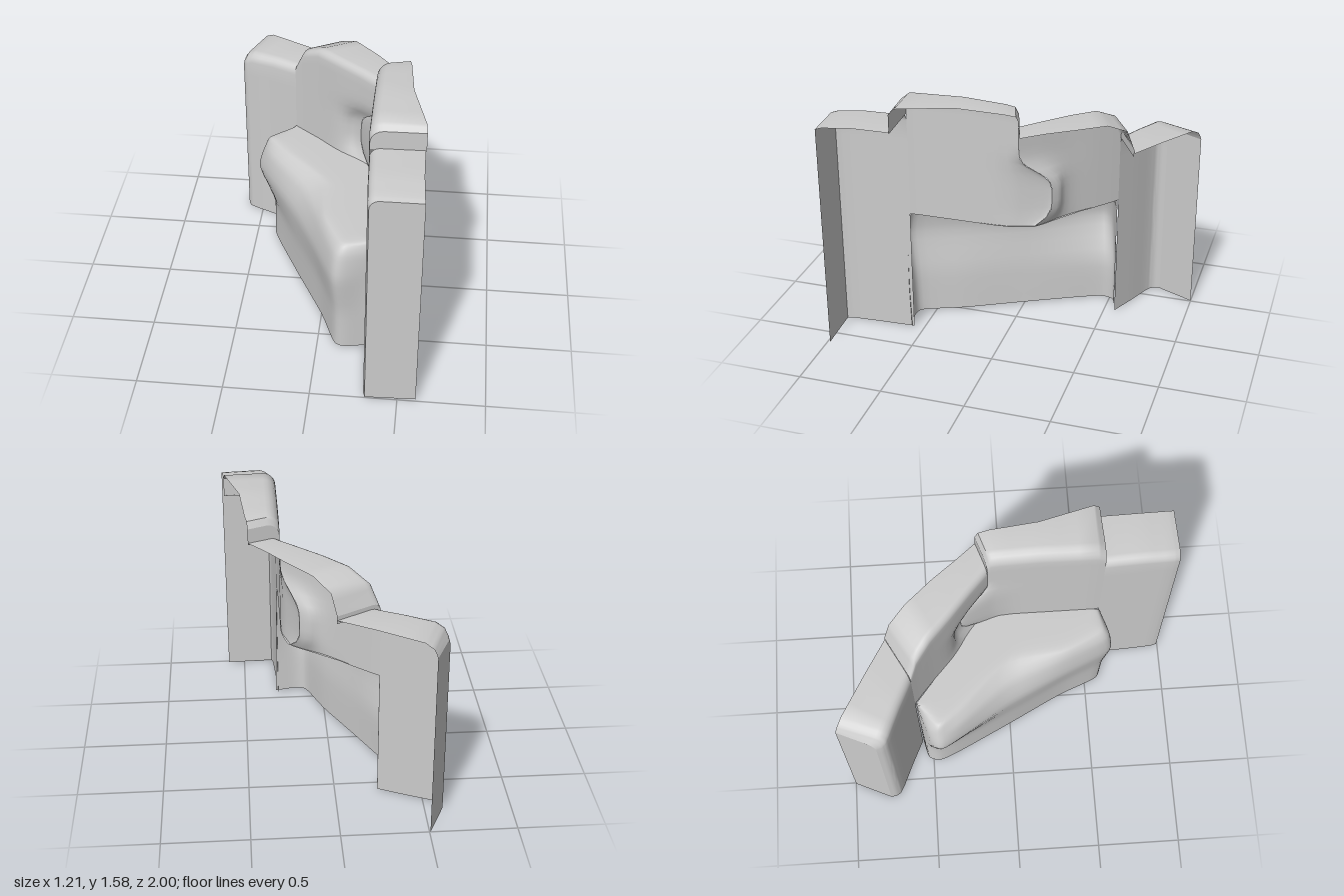
import * as THREE from 'three';
import { toCreasedNormals } from 'three/addons/utils/BufferGeometryUtils.js';

const material = new THREE.MeshStandardMaterial({ color: 0xcccccc, side: THREE.DoubleSide });
const V = (x, y, z) => new THREE.Vector3(x, y, z);

// Surface through rows of points, all rows of equal length
function sheet(name, rows, crease = 0.7) {
  const n = rows[0].length, index = [];
  for (let r = 0; r < rows.length - 1; r++) {
    for (let i = 0; i < n - 1; i++) {
      const a = r * n + i, b = a + n;
      index.push(a, b, a + 1, a + 1, b, b + 1);
    }
  }
  const geo = new THREE.BufferGeometry().setFromPoints(rows.flat());
  geo.setIndex(index);
  const mesh = new THREE.Mesh(toCreasedNormals(geo, crease), material);
  mesh.name = name;
  return mesh;
}

const smooth = (pts, n) => new THREE.CatmullRomCurve3(pts, false, 'catmullrom', 0.35).getPoints(n);

// Insert even steps between the columns of a panel
function refine(cols, steps) {
  const out = [];
  for (let i = 0; i < cols.length - 1; i++) {
    for (let s = 0; s < steps; s++) {
      out.push(cols[i].map((v, k) => THREE.MathUtils.lerp(v, cols[i + 1][k], s / steps)));
    }
  }
  out.push(cols[cols.length - 1]);
  return out;
}

// Open-backed cushion: front wall, rounded upper edge, top and end faces.
// Columns are [front x, front z, back x, back z, height]
function panel(name, columns, { base = 0, radius = 0.06, startBase, endBase }) {
  const group = new THREE.Group();
  group.name = name;
  const cols = refine(columns, 3);
  const rows = [];
  const addRow = (depth, height) => rows.push(cols.map(([fx, fz, bx, bz, h]) => {
    const len = Math.hypot(bx - fx, bz - fz), t = depth < 0 ? 1 : depth / len;
    const y = height(h);
    // Recessed inner corner where the two back cushions meet
    const d = Math.hypot(fx - 0.28, fz + 0.1) / (fz > -0.1 ? 0.05 : 0.22);
    const tuck = Math.exp(-d * d - ((y - 0.95) / 0.19) ** 4);
    return V(fx + (bx - fx) * t - 0.1 * tuck, y, fz + (bz - fz) * t - 0.17 * tuck);
  }));
  for (let i = 0; i <= 12; i++) addRow(0, h => base + (h - radius - base) * i / 12);
  for (let i = 1; i <= 5; i++) {
    const a = i / 5 * Math.PI / 2;
    addRow(radius * (1 - Math.cos(a)), h => h - radius * (1 - Math.sin(a)));
  }
  addRow(-1, h => h - 0.005);
  group.add(sheet(name + 'Cover', rows, 0.9));

  const endFace = (column, floor, flip) => {
    const top = rows.map(r => r[column]).filter(p => p.y >= floor);
    const low = top.map(p => V(p.x, floor, p.z));
    group.add(sheet(name + 'End', flip ? [low, top] : [top, low], 0.3));
  };
  if (startBase !== undefined) endFace(0, startBase, false);
  if (endBase !== undefined) endFace(cols.length - 1, endBase, true);
  return group;
}

export function createModel() {
  const model = new THREE.Group();
  model.name = 'cornerArmchair';

  // Tall arm at the front
  model.add(panel('leftArm', [
    [0.315, 0.995, 0.605, 0.985, 1.395],
    [0.305, 0.96, 0.60, 0.95, 1.405],
    [0.295, 0.8, 0.59, 0.78, 1.42],
    [0.285, 0.565, 0.585, 0.55, 1.42],
  ], { radius: 0.055, startBase: 0 }));

  // Highest back cushion
  model.add(panel('leftBackCushion', [
    [0.285, 0.565, 0.59, 0.55, 1.53],
    [0.28, 0.52, 0.585, 0.515, 1.565],
    [0.28, 0.2, 0.50, 0.2, 1.575],
    [0.28, -0.03, 0.475, -0.08, 1.56],
    [0.28, -0.08, 0.465, -0.14, 1.55],
    [0.28, -0.1, 0.46, -0.16, 1.51],
  ], { base: 0.77, radius: 0.075, startBase: 1.41, endBase: 1.41 }));

  // Second back cushion, sloping down to the short arm
  model.add(panel('rightBackCushion', [
    [0.28, -0.1, 0.46, -0.16, 1.425],
    [0.17, -0.2, 0.36, -0.28, 1.425],
    [0.03, -0.32, 0.26, -0.41, 1.42],
    [-0.1, -0.44, 0.12, -0.57, 1.41],
    [-0.2, -0.525, 0.03, -0.665, 1.35],
    [-0.25, -0.565, 0, -0.7, 1.23],
  ], { base: 0.77, radius: 0.05, endBase: 1.18 }));

  // Shorter arm at the rear
  model.add(panel('rightArm', [
    [-0.25, -0.565, 0, -0.7, 1.205],
    [-0.4, -0.635, -0.2, -0.82, 1.205],
    [-0.54, -0.695, -0.44, -0.96, 1.195],
    [-0.585, -0.72, -0.485, -0.985, 1.17],
    [-0.6, -0.745, -0.50, -0.995, 1.14],
    [-0.605, -0.78, -0.505, -1, 1.12],
  ], { radius: 0.06, endBase: 0 }));

  // Seat: sections from the floor up, over the front edge to the back cushions
  const sections = [
    [0.01, [0.30, 0.575, 0.17, 0.6, 0.1, 0.57, 0, 0.33, -0.17, 0, -0.34, -0.34, -0.385, -0.46, -0.36, -0.53, -0.25, -0.56]],
    [0.28, [0.295, 0.585, 0.17, 0.61, 0.1, 0.58, -0.01, 0.33, -0.18, 0, -0.34, -0.33, -0.385, -0.46, -0.36, -0.53, -0.25, -0.56]],
    [0.54, [0.29, 0.585, 0.15, 0.64, 0.08, 0.61, -0.05, 0.33, -0.21, 0, -0.40, -0.3, -0.47, -0.43, -0.42, -0.5, -0.25, -0.56]],
    [0.70, [0.285, 0.58, 0.15, 0.62, 0.09, 0.58, -0.02, 0.33, -0.14, 0, -0.37, -0.3, -0.43, -0.43, -0.39, -0.5, -0.25, -0.56]],
    [0.765, [0.28, 0.56, 0.16, 0.58, 0.115, 0.53, 0.02, 0.32, -0.03, 0, -0.28, -0.28, -0.39, -0.42, -0.36, -0.47, -0.25, -0.56]],
    [0.775, [0.28, 0.53, 0.2, 0.5, 0.17, 0.44, 0.12, 0.3, 0.07, 0.04, -0.13, -0.24, -0.25, -0.37, -0.28, -0.44, -0.25, -0.56]],
    [0.775, [0.28, 0.5, 0.28, 0.4, 0.28, 0.3, 0.28, 0.15, 0.28, -0.02, 0.24, -0.18, 0.1, -0.29, -0.1, -0.44, -0.25, -0.56]],
  ];
  const rough = sections.map(([y, xz]) => {
    const pts = [];
    for (let i = 0; i < xz.length; i += 2) pts.push(V(xz[i], y, xz[i + 1]));
    return smooth(pts, 32);
  });
  const columns = rough[0].map((_, i) => smooth(rough.map(r => r[i]), 24));
  const rows = columns[0].map((_, j) => columns.map(c => c[j]));
  model.add(sheet('seat', rows, 0.9));

  return model;
}
